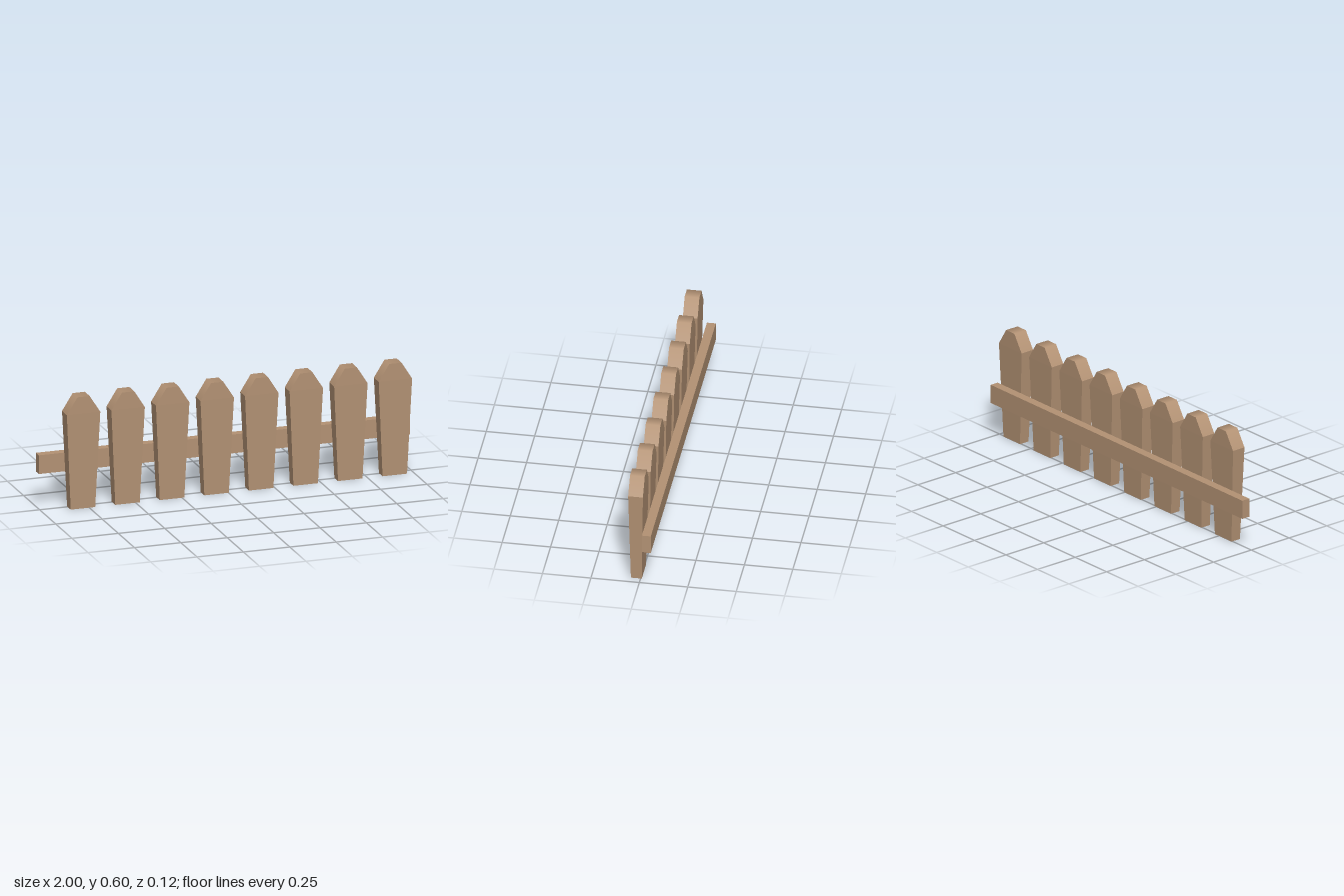
import * as THREE from 'three';

// Rows of a picket from the ground up: height, half width, half depth
const ROWS = [
  [0, 0.066, 0.028],
  [0.51, 0.09, 0.038],
  [0.6, 0.033, 0.038],
];
const PICKET_Z = 0.022;

// Box with one extra ring, tapered to the foot and chamfered at the tip
function picketGeometry() {
  const geo = new THREE.BoxGeometry(2, 2, 2, 1, 2, 1).toNonIndexed();
  const pos = geo.attributes.position;
  for (let i = 0; i < pos.count; i++) {
    const [y, w, d] = ROWS[Math.round(pos.getY(i)) + 1];
    pos.setXYZ(i, pos.getX(i) * w, y, pos.getZ(i) * d);
  }
  geo.computeVertexNormals();

  // Soften the edges between the chamfers and the flat tip
  const nor = geo.attributes.normal;
  for (let i = 0; i < pos.count; i++) {
    if (pos.getY(i) > 0.59 && nor.getY(i) > 0.3) {
      nor.setXYZ(i, Math.sign(pos.getX(i)) * 0.48, 0.877, 0);
    }
  }
  return geo;
}

export function createModel() {
  const fence = new THREE.Group();
  fence.name = 'picketFence';
  const wood = new THREE.MeshStandardMaterial({ color: 0xb39274 });
  wood.name = 'wood';

  // Eight evenly spaced pickets
  const geo = picketGeometry();
  for (let i = 0; i < 8; i++) {
    const picket = new THREE.Mesh(geo, wood);
    picket.name = `picket${i + 1}`;
    picket.position.set(-0.784 + i * 0.24, 0, PICKET_Z);
    fence.add(picket);
  }

  // Rail along the back
  const rail = new THREE.Mesh(new THREE.BoxGeometry(2, 0.1, 0.046), wood);
  rail.name = 'rail';
  rail.position.set(0, 0.237, -0.036);
  fence.add(rail);

  return fence;
}
